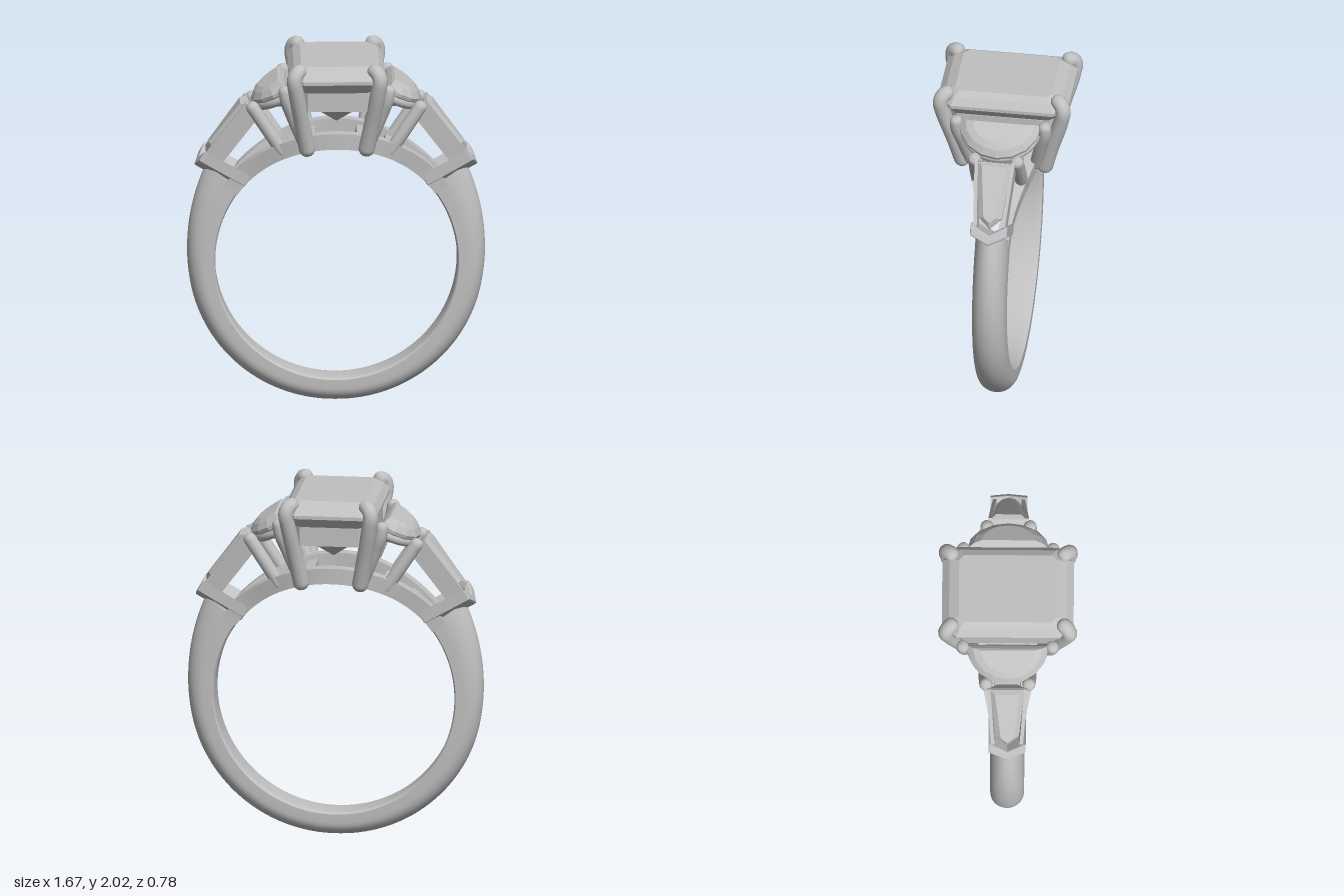
import * as THREE from 'three';
import { mergeVertices, toCreasedNormals } from 'three/addons/utils/BufferGeometryUtils.js';
import { ConvexGeometry } from 'three/addons/geometries/ConvexGeometry.js';

const CY = 0.82; // centre height of the finger hole
const V = (x, y, z) => new THREE.Vector3(x, y, z);
const rad = THREE.MathUtils.degToRad;

export function createModel() {
  const silver = new THREE.MeshStandardMaterial({ color: 0xc0c0c0 });
  silver.name = 'silver grey';
  const model = new THREE.Group();
  model.name = 'ring';

  const add = (parent, name, geometry) => {
    const mesh = new THREE.Mesh(geometry, silver);
    mesh.name = name;
    parent.add(mesh);
    return mesh;
  };

  // Sweep a (radius, z) cross-section around the finger hole, with end caps
  function sweep(from, to, steps, section) {
    const pos = [], idx = [];
    let m = 0;
    for (let i = 0; i <= steps; i++) {
      const deg = from + (to - from) * i / steps, a = rad(deg);
      const pts = section(deg);
      m = pts.length;
      for (const [r, z] of pts) pos.push(r * Math.cos(a), CY + r * Math.sin(a), z);
    }
    for (let i = 0; i < steps; i++) for (let j = 0; j < m; j++) {
      const k = (j + 1) % m, a = i * m + j, b = i * m + k;
      idx.push(a, a + m, b + m, a, b + m, b);
    }
    const e = steps * m;
    for (let j = 1; j < m - 1; j++) idx.push(0, j, j + 1, e, e + j + 1, e + j);
    const g = new THREE.BufferGeometry();
    g.setAttribute('position', new THREE.Float32BufferAttribute(pos, 3));
    g.setIndex(idx);
    return toCreasedNormals(g, rad(35));
  }

  // Round rod along a smooth path, tapering from r0 to r1 with domed ends
  function rod(points, r0, r1 = r0, steps = 40) {
    const path = new THREE.CatmullRomCurve3(points);
    const g = new THREE.TubeGeometry(path, steps, 1, 14);
    const L = path.getLength(), p = g.attributes.position, v = V(0, 0, 0);
    for (let i = 0; i <= steps; i++) {
      const t = i / steps, c = path.getPointAt(t), r = r0 + (r1 - r0) * t;
      const d = Math.max(0, 1 - Math.min(t, 1 - t) * L / r);
      const s = r * Math.sqrt(Math.max(0, 1 - d * d));
      for (let j = 0; j <= 14; j++) {
        const k = i * 15 + j;
        v.fromBufferAttribute(p, k).sub(c).multiplyScalar(s).add(c);
        p.setXYZ(k, v.x, v.y, v.z);
      }
    }
    g.deleteAttribute('uv');
    g.deleteAttribute('normal');
    const out = mergeVertices(g, 1e-5);
    out.computeVertexNormals();
    return out;
  }

  // Rectangle with clipped corners, as [x, z] pairs
  const octagon = (x, z, c) => [[x, z - c], [x - c, z], [c - x, z], [-x, z - c],
    [-x, c - z], [c - x, -z], [x - c, -z], [x, c - z]];

  // Shank, thicker toward the shoulders
  add(model, 'shank', sweep(142.5, 397.5, 110, deg => {
    const d = Math.abs(deg - 270);
    const ro = 0.82 + 0.012 * Math.min(d / 90, 1) + 0.08 * (Math.max(0, d - 80) / 46) ** 2;
    const pts = [], mid = 0.74;
    for (let k = 0; k <= 16; k++) {
      const t = Math.PI * (k / 16 - 0.5);
      pts.push([mid + (ro - mid) * Math.cos(t), 0.095 * Math.sin(t)]);
    }
    return [...pts, [0.69, 0.095], [0.682, 0.085], [0.68, 0.07],
      [0.68, -0.07], [0.682, -0.085], [0.69, -0.095]];
  }));

  // Pair of gallery rails bowing out under the centre stone
  for (const s of [1, -1]) {
    add(model, 'galleryRail', sweep(35, 145, 48, deg => {
      const z = s * (0.06 + 0.115 * Math.cos((deg - 90) / 55 * Math.PI / 2) ** 2);
      const w = 0.035;
      return [[0.68, z + w], [0.68, z - w], [0.77, z - w], [0.77, z + w]];
    }));
  }
  // Cross bars between the rails
  for (const deg of [52, 66, 79, 101, 114, 128]) {
    const half = 0.06 + 0.115 * Math.cos((deg - 90) / 55 * Math.PI / 2) ** 2;
    add(model, 'galleryCrossBar', sweep(deg - 2, deg + 2, 2,
      () => [[0.685, half], [0.685, -half], [0.745, -half], [0.745, half]]));
  }

  // Step-cut centre stone: each level is [y, half x, half z, corner]
  const levels = [[2.0, 0.2, 0.275, 0.03], [1.975, 0.24, 0.33, 0.06], [1.935, 0.27, 0.37, 0.08],
    [1.915, 0.27, 0.37, 0.08], [1.84, 0.215, 0.31, 0.06], [1.74, 0.13, 0.22, 0.03]];
  const gem = levels.flatMap(([y, x, z, c]) => octagon(x, z, c).map(([a, b]) => V(a, y, b)));
  add(model, 'centreStone', new ConvexGeometry([...gem, V(0, 1.64, 0.1), V(0, 1.64, -0.1)]));

  // Basket frame below the centre stone
  const toVec = list => list.map(([x, z]) => new THREE.Vector2(x, z));
  const frame = new THREE.Shape(toVec(octagon(0.235, 0.325, 0.07)));
  frame.holes.push(new THREE.Path(toVec(octagon(0.185, 0.275, 0.05))));
  const basket = add(model, 'basketFrame',
    new THREE.ExtrudeGeometry(frame, { depth: 0.11, bevelEnabled: false }));
  basket.rotation.x = -Math.PI / 2;
  basket.position.y = 1.75;

  // Shoulder: accent stones, prongs and collar, built at +x and turned for -x
  for (const turn of [0, Math.PI]) {
    const side = new THREE.Group();
    side.name = turn ? 'rightShoulder' : 'leftShoulder';
    side.rotation.y = turn;
    model.add(side);

    // Local frame: u runs outward and down, n points away from the finger
    const plane = (x, y, ux, uy) => (u, n, z) => V(x + u * ux - n * uy, y + u * uy + n * ux, z);

    for (const s of [1, -1]) {
      // Claws of the centre stone
      add(side, 'centreProng', rod([V(0.16, 1.47, s * 0.225), V(0.195, 1.66, s * 0.275),
        V(0.23, 1.86, s * 0.335), V(0.24, 1.94, s * 0.348), V(0.225, 1.975, s * 0.332),
        V(0.185, 1.985, s * 0.285)], 0.047, 0.042, 60));
      // Prongs of the half-moon stone
      add(side, 'halfMoonProng', rod([V(0.17, 1.5, s * 0.18), V(0.25, 1.7, s * 0.225),
        V(0.285, 1.8, s * 0.25), V(0.298, 1.885, s * 0.252)], 0.036));
      // Prongs shared with the tapered stone
      add(side, 'shoulderProng', rod([V(0.285, 1.44, s * 0.125), V(0.39, 1.6, s * 0.125),
        V(0.492, 1.755, s * 0.12)], 0.037));
    }

    // Half-moon stone
    const moon = plane(0.29, 1.86, 0.866, -0.5);
    const moonPts = [];
    for (const [n, u0, ru, rz] of [[0.045, 0.02, 0.13, 0.15], [0.03, 0.01, 0.175, 0.195],
      [0, 0, 0.22, 0.23], [-0.02, 0, 0.22, 0.23], [-0.12, 0.04, 0.07, 0.07]]) {
      for (let k = 0; k <= 8; k++) {
        const t = Math.PI * k / 8;
        moonPts.push(moon(u0 + ru * Math.sin(t), n, rz * Math.cos(t)));
      }
    }
    add(side, 'halfMoonStone', new ConvexGeometry(moonPts));
    const rim = [];
    for (let k = 0; k <= 10; k++) {
      const t = Math.PI * k / 10;
      rim.push(moon(0.01 + 0.185 * Math.sin(t), -0.05, 0.205 * Math.cos(t)));
    }
    add(side, 'halfMoonRim', rod(rim, 0.025));

    // Tapered stone with a pointed outer end
    const taper = plane(0.51, 1.735, 0.6, -0.8);
    const taperPts = [];
    for (const [n, inset] of [[0.025, 0.03], [0, 0], [-0.02, 0], [-0.1, 0.045]]) {
      for (const s of [1, -1]) {
        taperPts.push(taper(inset * 0.6, n, s * (0.1 - inset)), taper(0.31, n, s * (0.065 - inset)));
      }
      taperPts.push(taper(0.37 - inset, n, 0));
    }
    add(side, 'taperedStone', new ConvexGeometry(taperPts));

    // Side walls holding the tapered stone
    for (const s of [1, -1]) {
      const wall = [];
      for (const n of [0.01, -0.1]) for (const w of [0, 0.02]) {
        wall.push(taper(-0.01, n, s * (0.115 - w)), taper(0.36, n, s * (0.09 - w)));
      }
      add(side, 'taperedWall', new ConvexGeometry(wall));
    }

    // Chevron collar between shoulder and shank
    const chevron = new THREE.Shape(toVec([[-0.105, 0.045], [-0.105, -0.02], [0, -0.075],
      [0.105, -0.02], [0.105, 0.045], [0, -0.015]]));
    const collar = new THREE.ExtrudeGeometry(chevron, { depth: 0.28, bevelThickness: 0.01,
      bevelSize: 0.008, bevelOffset: -0.008, bevelSegments: 2 });
    collar.applyMatrix4(new THREE.Matrix4()
      .makeBasis(V(0, 0, -1), V(-0.5, 0.866, 0), V(0.866, 0.5, 0)).setPosition(0.51, 1.285, 0));
    add(side, 'chevronCollar', collar);
  }
  return model;
}
